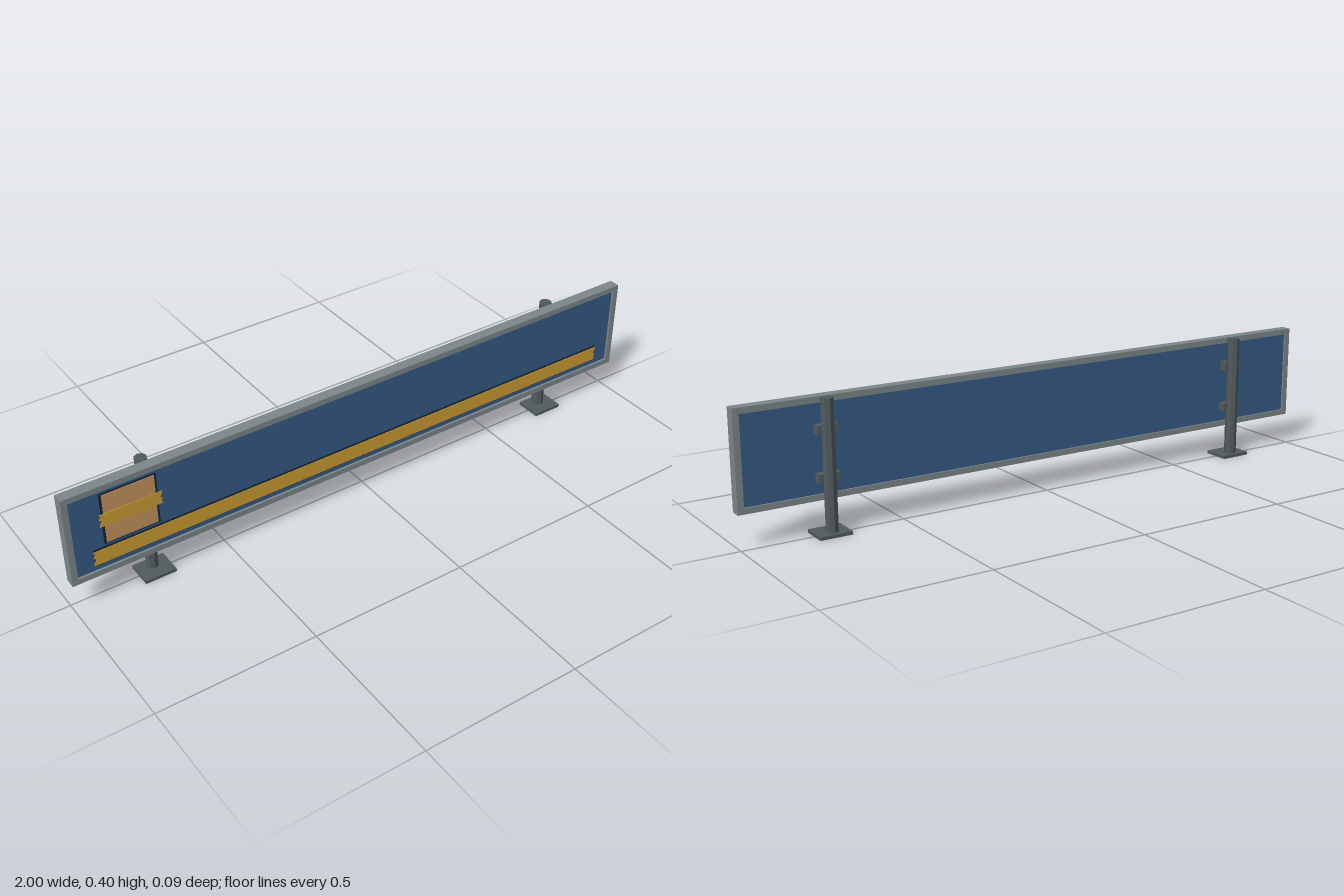
import * as THREE from 'three';

const mat = (name, color, extra = {}) => new THREE.MeshStandardMaterial({ name, color, ...extra });

export function createModel() {
  const model = new THREE.Group();
  model.name = 'signBoard';
  const frameGrey = mat('frame grey', 0x7d888b);
  const steel = mat('dark steel', 0x515b5e, { flatShading: true });
  const blue = mat('panel blue', 0x365c86);
  const navy = mat('backing navy', 0x14263c);
  const gold = mat('tape gold', 0xcfa035);
  const tan = mat('patch tan', 0xc8965f);

  const add = (name, geometry, material, x, y, z, parent = model) => {
    const mesh = new THREE.Mesh(geometry, material);
    mesh.name = name;
    mesh.position.set(x, y, z);
    parent.add(mesh);
    return mesh;
  };
  const box = (name, material, w, h, d, x, y, z, parent) =>
    add(name, new THREE.BoxGeometry(w, h, d), material, x, y, z, parent);

  // Rectangular frame with an open middle
  const rect = (Type, w, h) => {
    const p = new Type();
    p.moveTo(-w, -h).lineTo(w, -h).lineTo(w, h).lineTo(-w, h).closePath();
    return p;
  };
  const outline = rect(THREE.Shape, 1, 0.15);
  outline.holes.push(rect(THREE.Path, 0.981, 0.132));
  add('frame', new THREE.ExtrudeGeometry(outline, { depth: 0.035, bevelEnabled: false }),
    frameGrey, 0, 0.25, 0.0075);

  // Recessed panel
  box('panel', blue, 1.964, 0.266, 0.022, 0, 0.25, 0.024);

  // Strip with torn, zigzag ends
  const tornStrip = (w, h, depth) => {
    const s = new THREE.Shape();
    const bite = [0, 0.006, 0.001, 0.009, 0.002, 0];
    const n = bite.length - 1;
    bite.forEach((b, i) => {
      const x = w / 2 - b, y = -h / 2 + (h * i) / n;
      if (i) s.lineTo(x, y); else s.moveTo(x, y);
    });
    bite.forEach((b, i) => s.lineTo(-w / 2 + b, h / 2 - (h * i) / n));
    return new THREE.ExtrudeGeometry(s, { depth, bevelEnabled: false });
  };

  // Long tape along the bottom, on a dark backing
  add('longTapeBacking', tornStrip(1.858, 0.055, 0.003), navy, 0, 0.162, 0.035);
  add('longTape', tornStrip(1.856, 0.047, 0.002), gold, 0, 0.161, 0.038);

  // Patch held by a short tape
  box('patchBacking', navy, 0.174, 0.172, 0.003, -0.802, 0.284, 0.0365);
  box('patch', tan, 0.16, 0.163, 0.002, -0.802, 0.284, 0.039);
  add('shortTape', tornStrip(0.196, 0.042, 0.0015), gold, -0.8, 0.283, 0.04);

  // Two posts with foot plates and clamps
  for (const side of [-1, 1]) {
    const post = new THREE.Group();
    post.name = side < 0 ? 'rightPost' : 'leftPost';
    post.position.x = side * 0.733;
    model.add(post);
    box('footPlate', steel, 0.1, 0.01, 0.085, 0, 0.005, 0, post);
    add('pole', new THREE.CylinderGeometry(0.0195, 0.0195, 0.39, 8), steel, 0, 0.205, -0.0125, post);
    for (const y of [0.168, 0.308])
      box('clamp', steel, 0.064, 0.027, 0.027, 0, y, 0.0005, post);
  }
  return model;
}
